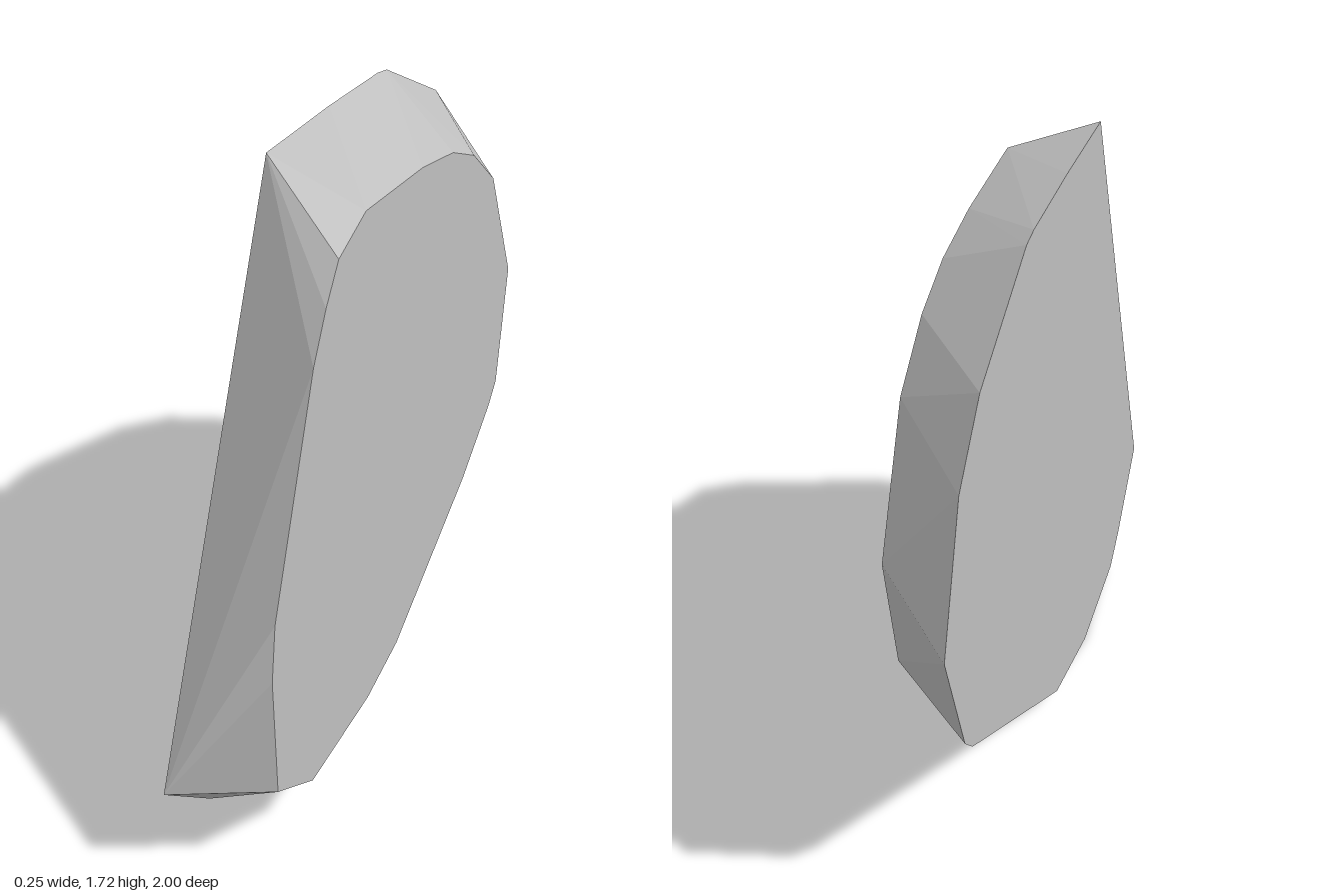
import * as THREE from 'three';
import { ConvexGeometry } from 'three/addons/geometries/ConvexGeometry.js';

// Outlines as [z, y] pairs
const wideOutline = [
  [1, 0.305], [0.79, 0.1], [0.69, 0.03], [0.34, 0], [-0.01, 0.08], [-0.82, 0.6],
  [-0.875, 0.66], [-1, 1.005], [-0.875, 1.36], [-0.72, 1.52], [-0.36, 1.695],
  [-0.3, 1.705], [0, 1.717], [0.34, 1.72],
];
const narrowOutline = [
  [0.34, 1.62], [0.49, 1.565], [0.56, 1.475], [0.63, 1.36], [0.86, 0.805], [0.885, 0.655],
  [0.88, 0.305], [0.69, 0.173], [0.34, 0.17], [0.14, 0.21], [-0.37, 0.46], [-0.58, 0.6],
  [-0.635, 0.655], [-0.705, 1.005], [-0.535, 1.36], [-0.37, 1.49], [-0.21, 1.557], [0, 1.595],
];
const halfThickness = 0.125;

export function createModel() {
  const group = new THREE.Group();
  group.name = 'stoneSlab';
  const stone = new THREE.MeshStandardMaterial({ color: 0xbfbfbf });
  stone.name = 'stone grey';

  // Faceted slab: the bevelled rim spans the wide and narrow faces
  const place = (outline, x) => outline.map(([z, y]) => new THREE.Vector3(x, y, z));
  const slab = new THREE.Mesh(
    new ConvexGeometry([
      ...place(wideOutline, -halfThickness),
      ...place(narrowOutline, halfThickness),
    ]),
    stone,
  );
  slab.name = 'slab';
  group.add(slab);
  return group;
}
